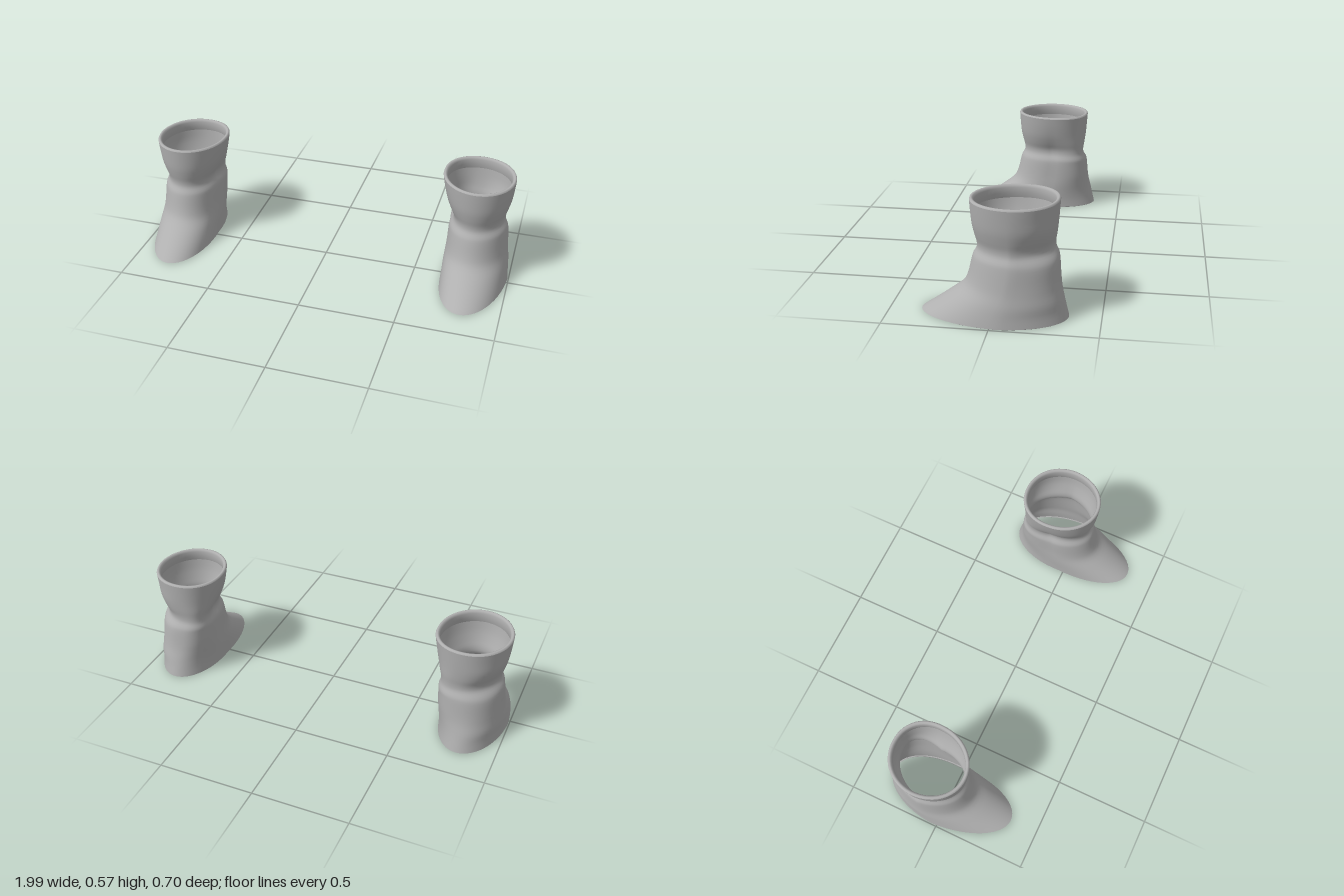
import * as THREE from 'three';

// Cross-sections from sole to rim:
// [y, inner x, outer x, back z, front z, widest z, back tip x, front tip x, back squareness, front squareness]
const FOOT = [
  [0.004, 0.650, 0.995, -0.348, 0.350, -0.03, 0.81, 0.80, 2.0, 2.0],
  [0.05, 0.650, 0.990, -0.337, 0.282, -0.04, 0.81, 0.80, 2.0, 2.0],
  [0.10, 0.650, 0.985, -0.325, 0.212, -0.06, 0.81, 0.80, 2.1, 2.0],
  [0.15, 0.652, 0.977, -0.313, 0.150, -0.08, 0.80, 0.80, 2.2, 2.0],
  [0.20, 0.655, 0.972, -0.306, 0.125, -0.09, 0.79, 0.80, 2.3, 2.0],
  [0.27, 0.657, 0.966, -0.300, 0.108, -0.10, 0.78, 0.80, 2.3, 2.0],
  [0.30, 0.662, 0.960, -0.294, 0.099, -0.10, 0.77, 0.80, 2.3, 2.0],
  [0.33, 0.677, 0.946, -0.279, 0.083, -0.10, 0.76, 0.80, 2.3, 2.0],
  [0.362, 0.676, 0.946, -0.278, 0.083, -0.10, 0.76, 0.80, 2.3, 2.0],
  [0.40, 0.656, 0.956, -0.284, 0.093, -0.10, 0.77, 0.80, 2.3, 2.0],
  [0.45, 0.634, 0.968, -0.290, 0.104, -0.10, 0.78, 0.80, 2.2, 2.0],
  [0.51, 0.617, 0.975, -0.295, 0.110, -0.10, 0.78, 0.80, 2.1, 2.0],
  [0.565, 0.606, 0.980, -0.299, 0.114, -0.10, 0.78, 0.80, 2.1, 2.0],
];
const SIDES = 56;
const STEPS = 3;

// Smooth in-between section, interpolating every value at once
function sectionAt(t) {
  const last = FOOT.length - 1;
  const i = Math.min(Math.floor(t), last - 1), f = t - i;
  const k = (n) => FOOT[THREE.MathUtils.clamp(n, 0, last)];
  const [a, b, c, d] = [k(i - 1), k(i), k(i + 1), k(i + 2)];
  return b.map((v, j) => 0.5 * (2 * v + (c[j] - a[j]) * f
    + (2 * a[j] - 5 * v + 4 * c[j] - d[j]) * f * f
    + (3 * v - a[j] - 3 * c[j] + d[j]) * f * f * f));
}

// Same outline moved inward, at another height
function inset([, x0, x1, z0, z1, ...rest], y, s) {
  return [y, x0 + s, x1 - s, z0 + s, z1 - s, ...rest];
}

function ring([y, x0, x1, z0, z1, zc, backX, frontX, backN, frontN]) {
  const points = [];
  const mid = (x0 + x1) / 2;
  for (let i = 0; i < SIDES; i++) {
    const a = (i / SIDES) * Math.PI * 2;
    const c = Math.cos(a), s = Math.sin(a);
    const e = 2 / (s > 0 ? frontN : backN);
    const u = Math.sign(c) * Math.abs(c) ** e;
    const v = Math.abs(s) ** e;
    const tip = s > 0 ? frontX : backX;
    const z = zc + v * (s > 0 ? z1 - zc : z0 - zc);
    points.push(mid + (tip - mid) * v + u * (x1 - x0) / 2, y, z);
  }
  return points;
}

// Skin through a stack of closed rings, mirrored when side is -1
function skin(sections, side) {
  const positions = sections.flatMap(ring).map((v, i) => (i % 3 === 0 ? v * side : v));
  const index = [];
  for (let r = 0; r < sections.length - 1; r++) {
    for (let i = 0; i < SIDES; i++) {
      const a = r * SIDES + i, b = r * SIDES + (i + 1) % SIDES;
      const c = a + SIDES, d = b + SIDES;
      if (side > 0) index.push(a, c, b, b, c, d);
      else index.push(a, b, c, b, d, c);
    }
  }
  const geometry = new THREE.BufferGeometry();
  geometry.setAttribute('position', new THREE.Float32BufferAttribute(positions, 3));
  geometry.setIndex(index);
  geometry.computeVertexNormals();
  return geometry;
}

export function createModel() {
  const model = new THREE.Group();
  model.name = 'bootPair';
  const grey = new THREE.MeshStandardMaterial({ color: 0xb0b0b0, side: THREE.DoubleSide });
  grey.name = 'grey';

  const wall = [];
  const count = (FOOT.length - 1) * STEPS;
  for (let i = 0; i <= count; i++) wall.push(sectionAt(i / STEPS));
  const top = FOOT[FOOT.length - 1];

  // Rounded lip turning into the opening
  const lip = [
    top, inset(top, 0.572, 0.003), inset(top, 0.574, 0.009), inset(top, 0.571, 0.017),
    inset(top, 0.56, 0.021), inset(top, 0.535, 0.022), inset(top, 0.51, 0.016),
  ];
  // Thin turned edge around the open sole
  const hem = [inset(FOOT[0], 0.008, 0.009), inset(FOOT[0], 0.001, 0.005), FOOT[0]];

  for (const [side, name] of [[1, 'left'], [-1, 'right']]) {
    const boot = new THREE.Group();
    boot.name = name + 'Boot';
    for (const [part, sections] of [['shaftAndFoot', wall], ['topLip', lip], ['soleHem', hem]]) {
      const mesh = new THREE.Mesh(skin(sections, side), grey);
      mesh.name = part;
      boot.add(mesh);
    }
    model.add(boot);
  }
  return model;
}
